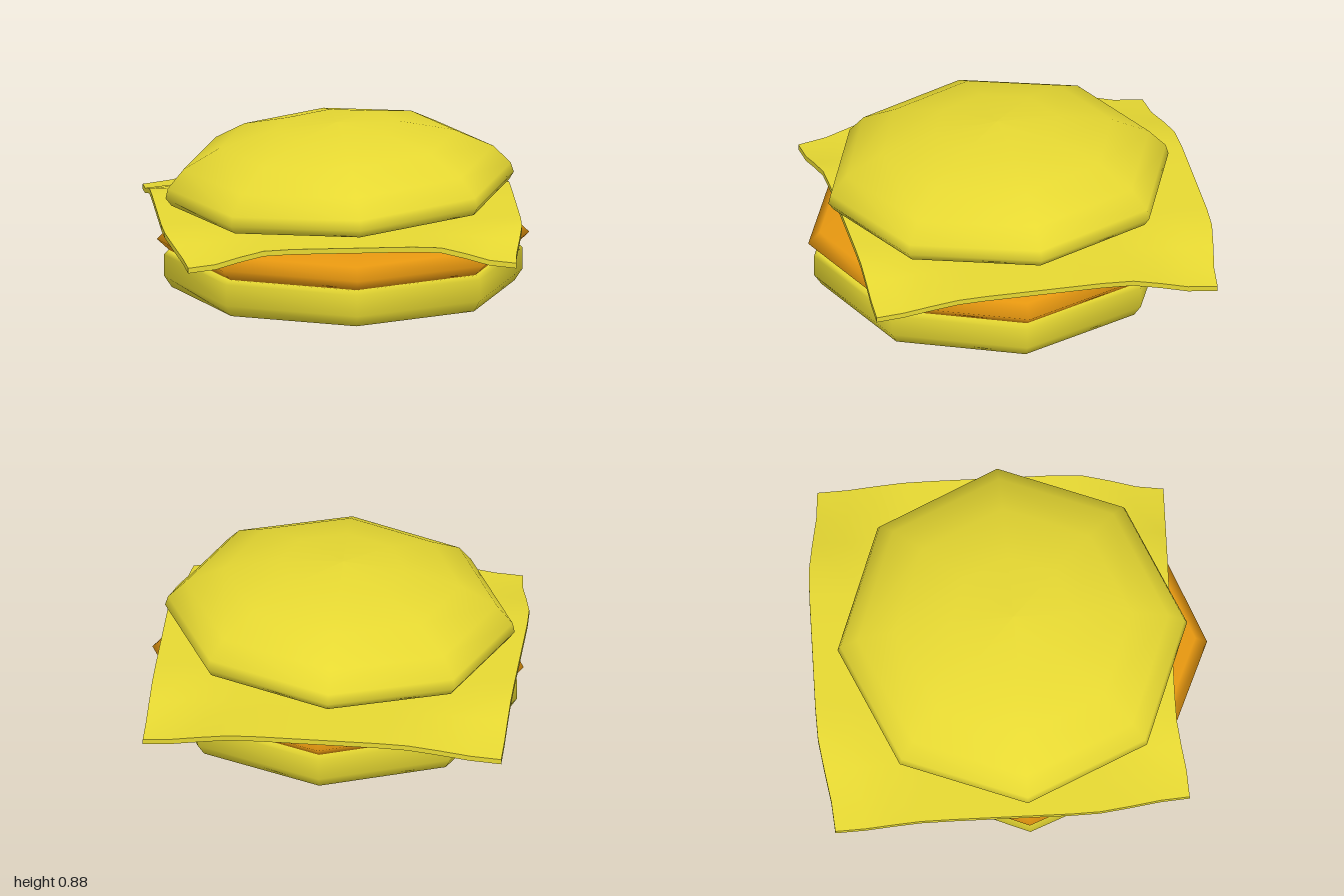
import * as THREE from 'three';

const yellow = new THREE.MeshStandardMaterial({ name: 'golden yellow', color: 0xe6d832 });
const orange = new THREE.MeshStandardMaterial({ name: 'patty orange', color: 0xe69710 });

// Eight-sided layer turned from a bottom-to-top profile of [radius, height]
function layer(name, profile, material) {
  const points = profile.map(([r, y]) => new THREE.Vector2(r, y));
  const mesh = new THREE.Mesh(new THREE.LatheGeometry(points, 8), material);
  mesh.name = name;
  return mesh;
}

// Thin square slice whose corners sag and pull inward
function cheeseSlice() {
  const geometry = new THREE.BoxGeometry(2, 0.027, 2, 12, 1, 12);
  const p = geometry.attributes.position;
  for (let i = 0; i < p.count; i++) {
    const u = p.getX(i), v = p.getZ(i);
    const sag = THREE.MathUtils.smoothstep(Math.abs(u), 0.4, 1) * THREE.MathUtils.smoothstep(Math.abs(v), 0.4, 1);
    let x = u * (u > 0 ? 0.885 : 0.94);
    let z = v * (v > 0 ? 0.82 : 1);
    let drop = 0.095;
    if (v < 0) {
      z += 0.07 * sag;
    } else if (u < 0) {
      x += 0.09 * sag;
      z += 0.05 * sag;
      drop = 0.075;
    } else {
      x -= 0.065 * sag;
    }
    p.setXYZ(i, x, p.getY(i) + 0.416 - drop * sag, z);
  }
  geometry.computeVertexNormals();
  const mesh = new THREE.Mesh(geometry, yellow);
  mesh.name = 'cheeseSlice';
  return mesh;
}

export function createModel() {
  const group = new THREE.Group();
  group.name = 'burger';

  const bottomBun = layer('bottomBun', [
    [0, 0], [0.61, 0.018], [0.87, 0.05], [0.91, 0.11], [0.91, 0.22], [0.89, 0.24], [0, 0.242],
  ], yellow);
  bottomBun.position.z = 0.06;

  const patty = layer('patty', [
    [0, 0.235], [0.88, 0.24], [0.945, 0.3], [0.885, 0.36], [0.62, 0.39], [0, 0.395],
  ], orange);
  patty.position.z = 0.055;

  // Domed top, resting at a slight tilt
  const topBun = layer('topBun', [
    [0, -0.012], [0.6, -0.008], [0.86, 0], [0.888, 0.04], [0.875, 0.09], [0.79, 0.185],
    [0.6, 0.283], [0.32, 0.352], [0, 0.372],
  ], yellow);
  topBun.position.set(-0.012, 0.512, 0.012);
  topBun.rotation.set(0.015, 0.04, 0.048);

  group.add(bottomBun, patty, cheeseSlice(), topBun);
  return group;
}
